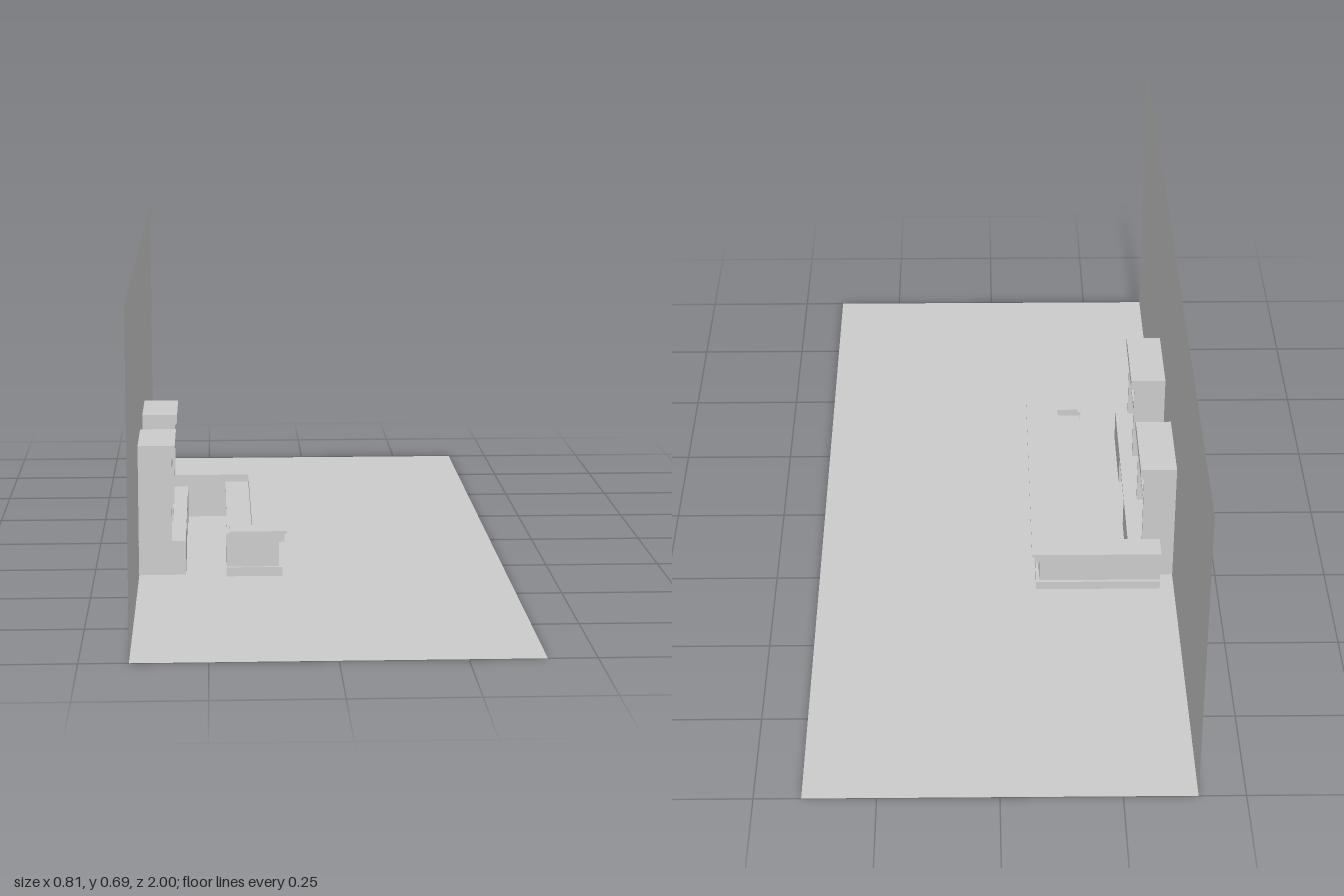
import * as THREE from 'three';

const mat = new THREE.MeshStandardMaterial({ color: 0xcccccc, side: THREE.DoubleSide });

export function createModel() {
  const root = new THREE.Group();

  const add = (parent, name, geometry) => {
    const mesh = new THREE.Mesh(geometry, mat);
    mesh.name = name;
    parent.add(mesh);
    return mesh;
  };
  // Box given by its min and max on each axis
  const box = (parent, name, x0, x1, y0, y1, z0, z1) =>
    add(parent, name, new THREE.BoxGeometry(x1 - x0, y1 - y0, z1 - z0))
      .position.set((x0 + x1) / 2, (y0 + y1) / 2, (z0 + z1) / 2);
  const group = (name) => {
    const g = new THREE.Group();
    g.name = name;
    root.add(g);
    return g;
  };

  // Room: one floor sheet and one wall sheet
  add(root, 'floor', new THREE.PlaneGeometry(0.805, 2).rotateX(-Math.PI / 2));
  add(root, 'wall', new THREE.PlaneGeometry(2, 0.69).rotateY(Math.PI / 2))
    .position.set(-0.4025, 0.345, 0);

  // Wall unit: two open bookcases on cabinets, joined by a desk top
  const unit = group('wallUnit');
  const bookcase = (name, z0, z1, back) => {
    const g = new THREE.Group();
    g.name = name;
    unit.add(g);
    const t = 0.008, front = -0.33;
    box(g, 'cabinet', back, -0.3, 0.004, 0.074, z0, z1);
    box(g, 'backPanel', back, back + 0.006, 0.08, 0.285, z0, z1);
    for (const z of [z0, z1 - t]) box(g, 'sidePanel', back, front, 0.08, 0.27, z, z + t);
    for (const y of [0.156, 0.217]) box(g, 'shelf', back, front - 0.006, y, y + 0.006, z0 + t, z1 - t);
    // Cornice with a sloped underside
    const profile = new THREE.Shape([
      [back, 0.262], [front, 0.262], [-0.322, 0.273], [-0.322, 0.291], [back, 0.291],
    ].map(([x, y]) => new THREE.Vector2(x, y)));
    add(g, 'cornice', new THREE.ExtrudeGeometry(profile, { depth: z1 - z0, bevelEnabled: false }))
      .position.z = z0;
  };
  bookcase('leftBookcase', 0.125, 0.322, -0.404);
  bookcase('rightBookcase', -0.25, -0.052, -0.403);
  box(unit, 'deskTop', -0.402, -0.3, 0.074, 0.08, -0.25, 0.322);

  // Counter: stacked layers of one hooked outline, each with its own inset
  const counter = group('counter');
  const layer = (name, y0, y1, inset, end) => {
    const r = -0.08 - inset, back = -0.315 + inset, front = 0.355 - inset;
    const shape = new THREE.Shape([
      [-0.37, back], [r, back], [r, front], [end, front], [end, 0.29],
      [-0.155, 0.29], [-0.155, -0.255], [-0.37, -0.255],
    ].map(([x, z]) => new THREE.Vector2(x, -z)));
    const geo = new THREE.ExtrudeGeometry(shape, { depth: y1 - y0, bevelEnabled: false });
    add(counter, name, geo.rotateX(-Math.PI / 2)).position.y = y0;
  };
  layer('plinth', 0.005, 0.025, 0.01, -0.212);
  layer('counterBody', 0.025, 0.082, 0.017, -0.212);
  layer('counterMoulding', 0.082, 0.101, 0.006, -0.212);
  layer('counterTop', 0.101, 0.107, 0, -0.205);

  // Lower work surface behind the counter
  box(counter, 'workCabinet', -0.2, -0.155, 0.005, 0.084, -0.255, 0.29);
  box(counter, 'workTop', -0.21, -0.155, 0.084, 0.09, -0.255, 0.29);

  return root;
}
